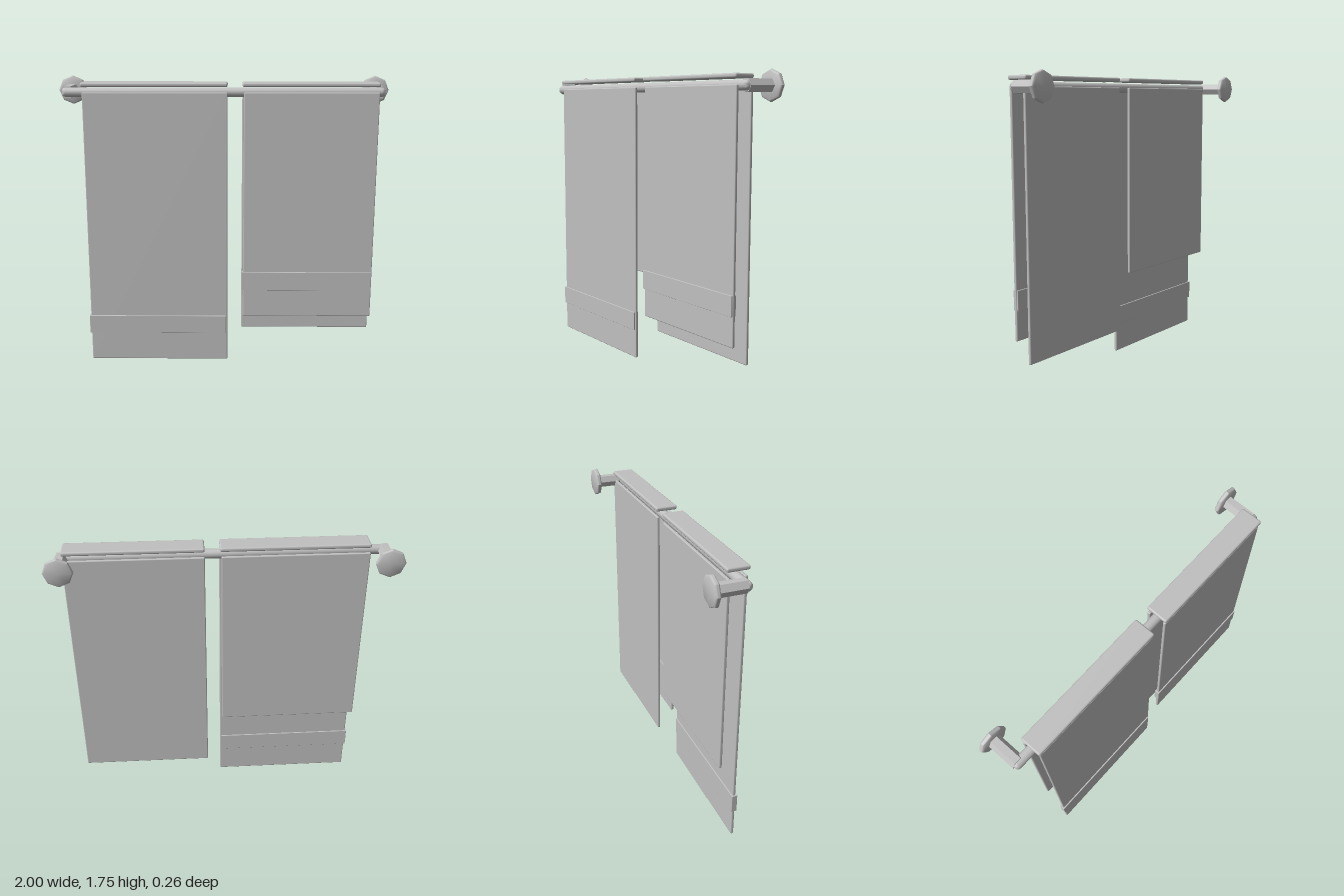
import * as THREE from 'three';
import { toCreasedNormals } from 'three/addons/utils/BufferGeometryUtils.js';
import { RoundedBoxGeometry } from 'three/addons/geometries/RoundedBoxGeometry.js';

const BAR_Y = 1.66, BAR_Z = 0.063;

export function createModel() {
  const model = new THREE.Group();
  model.name = 'towelRail';
  const grey = new THREE.MeshStandardMaterial({ color: 0xc0c0c0 });
  grey.name = 'plainGrey';

  const add = (parent, name, geometry, x = 0, y = 0, z = 0) => {
    const mesh = new THREE.Mesh(geometry, grey);
    mesh.name = name;
    mesh.position.set(x, y, z);
    parent.add(mesh);
    return mesh;
  };

  // Softly rounded slab given by its limits on each axis
  const slab = (parent, name, [x0, x1], [y0, y1], [z0, z1], radius) =>
    add(parent, name, new RoundedBoxGeometry(x1 - x0, y1 - y0, z1 - z0, 2, radius),
      (x0 + x1) / 2, (y0 + y1) / 2, (z0 + z1) / 2);

  // Turned solid around y from [radius, height] pairs, creased at sharp edges
  const turned = (points, sides) => toCreasedNormals(
    new THREE.LatheGeometry(points.map(([r, h]) => new THREE.Vector2(r, h)), sides), 0.7);

  // Horizontal bar with rounded ends
  const bar = turned([
    [0, -0.947], [0.018, -0.944], [0.026, -0.936], [0.028, -0.925],
    [0.028, 0.925], [0.026, 0.936], [0.018, 0.944], [0, 0.947],
  ], 16);
  bar.rotateZ(Math.PI / 2);
  add(model, 'bar', bar, 0, BAR_Y, BAR_Z);

  // Wall brackets: hexagonal post and eight-sided flange
  for (const side of [-1, 1]) {
    const bracket = new THREE.Group();
    bracket.name = side > 0 ? 'leftBracket' : 'rightBracket';
    bracket.position.set(side * 0.915, BAR_Y, 0);
    model.add(bracket);

    const post = toCreasedNormals(new THREE.CylinderGeometry(0.039, 0.039, 0.175, 6), 0.5);
    post.rotateY(Math.PI / 2).rotateX(Math.PI / 2);
    add(bracket, 'post', post, 0, 0, -0.0235);

    const flange = turned([
      [0, -0.0145], [0.075, -0.0145], [0.082, -0.011], [0.085, -0.005],
      [0.085, 0.005], [0.082, 0.011], [0.075, 0.0145], [0, 0.0145],
    ], 8);
    flange.rotateX(Math.PI / 2);
    add(bracket, 'flange', flange, 0, 0, -0.1165);
  }

  // Towels: front and back panels, fold over the bar and a woven band
  const towels = [
    { name: 'bathTowel', fold: [-0.83, 0.026], front: [-0.822, 0.026], back: [-0.83, 0.018],
      frontEnd: 0, backEnd: 0.52, bandX: [-0.83, 0.017], bandY: [0.177, 0.29] },
    { name: 'handTowel', fold: [0.112, 0.91], front: [0.121, 0.908], back: [0.112, 0.91],
      frontEnd: 0.29, backEnd: 0.177, bandX: [0.112, 0.904], bandY: [0.46, 0.575] },
  ];
  for (const t of towels) {
    const towel = new THREE.Group();
    towel.name = t.name;
    model.add(towel);
    slab(towel, 'frontPanel', t.front, [t.frontEnd, 1.663], [0.104, 0.122], 0.006);
    slab(towel, 'backPanel', t.back, [t.backEnd, 1.663], [0.005, 0.023], 0.006);
    slab(towel, 'topFold', t.fold, [1.695, 1.72], [0.001, 0.131], 0.01);
    slab(towel, 'band', t.bandX, t.bandY, [0.097, 0.13], 0.002);
  }
  return model;
}
